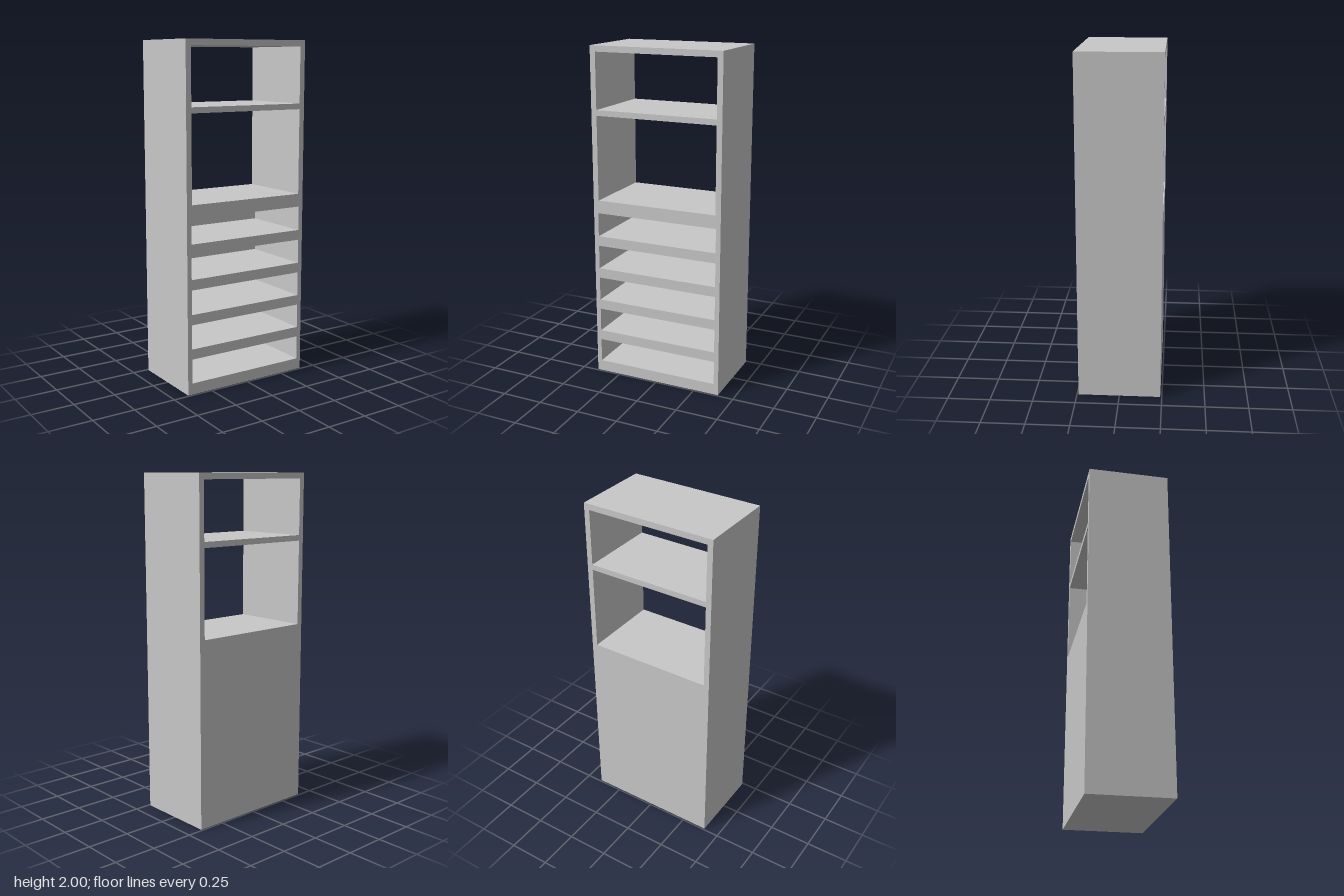
import * as THREE from 'three';
import { mergeGeometries } from 'three/addons/utils/BufferGeometryUtils.js';

const HALF_W = 0.403, HALF_D = 0.241, HEIGHT = 2, BACK = 0.03;

// Four walls of a rectangular tube along z, facing outward or inward
function sleeve(hw, y0, y1, z0, z1, inward) {
  const d = z1 - z0, h = y1 - y0, cy = (y0 + y1) / 2, cz = (z0 + z1) / 2;
  const s = inward ? -1 : 1;
  const walls = [];
  for (const side of [-1, 1]) {
    walls.push(new THREE.PlaneGeometry(d, h)
      .rotateY(s * side * Math.PI / 2).translate(side * hw, cy, cz));
    walls.push(new THREE.PlaneGeometry(2 * hw, d)
      .rotateX(-s * side * Math.PI / 2).translate(0, cy + side * h / 2, cz));
  }
  return walls;
}

function rectangle(path, hw, y0, y1) {
  path.moveTo(-hw, y0);
  path.lineTo(hw, y0);
  path.lineTo(hw, y1);
  path.lineTo(-hw, y1);
  path.closePath();
  return path;
}

// Flat cabinet face with openings
function face(openings) {
  const shape = rectangle(new THREE.Shape(), HALF_W, 0, HEIGHT);
  for (const o of openings) shape.holes.push(rectangle(new THREE.Path(), o.hw, o.y0, o.y1));
  return new THREE.ShapeGeometry(shape);
}

export function createModel() {
  const group = new THREE.Group();
  group.name = 'cabinet';
  const grey = new THREE.MeshStandardMaterial({ color: 0xc8c8c8 });
  grey.name = 'light grey';

  const add = (name, geometry) => {
    const mesh = new THREE.Mesh(geometry, grey);
    mesh.name = name;
    group.add(mesh);
  };

  // Two open shelves pass right through; five drawer slots stop at the back panel
  const shelves = [
    { hw: 0.37, y0: 1.1, y1: 1.603 },
    { hw: 0.37, y0: 1.636, y1: 1.965 },
  ];
  const slots = [];
  for (let i = 0; i < 5; i++) {
    const y0 = 0.067 + i * 0.203;
    slots.push({ hw: 0.375, y0, y1: y0 + 0.143 });
  }

  // Outer skin
  add('frontFrame', face([...shelves, ...slots]).translate(0, 0, HALF_D));
  add('backPanel', face(shelves).rotateY(Math.PI).translate(0, 0, -HALF_D));
  add('outerCase', mergeGeometries(sleeve(HALF_W, 0, HEIGHT, -HALF_D, HALF_D, false)));

  // Open shelf linings
  shelves.forEach((o, i) => add(`openShelf${i + 1}`,
    mergeGeometries(sleeve(o.hw, o.y0, o.y1, -HALF_D, HALF_D, true))));

  // Drawer slot linings with closed backs
  slots.forEach((o, i) => {
    const z = -HALF_D + BACK;
    const back = new THREE.PlaneGeometry(2 * o.hw, o.y1 - o.y0)
      .translate(0, (o.y0 + o.y1) / 2, z);
    add(`drawerSlot${i + 1}`,
      mergeGeometries([...sleeve(o.hw, o.y0, o.y1, z, HALF_D, true), back]));
  });

  return group;
}
